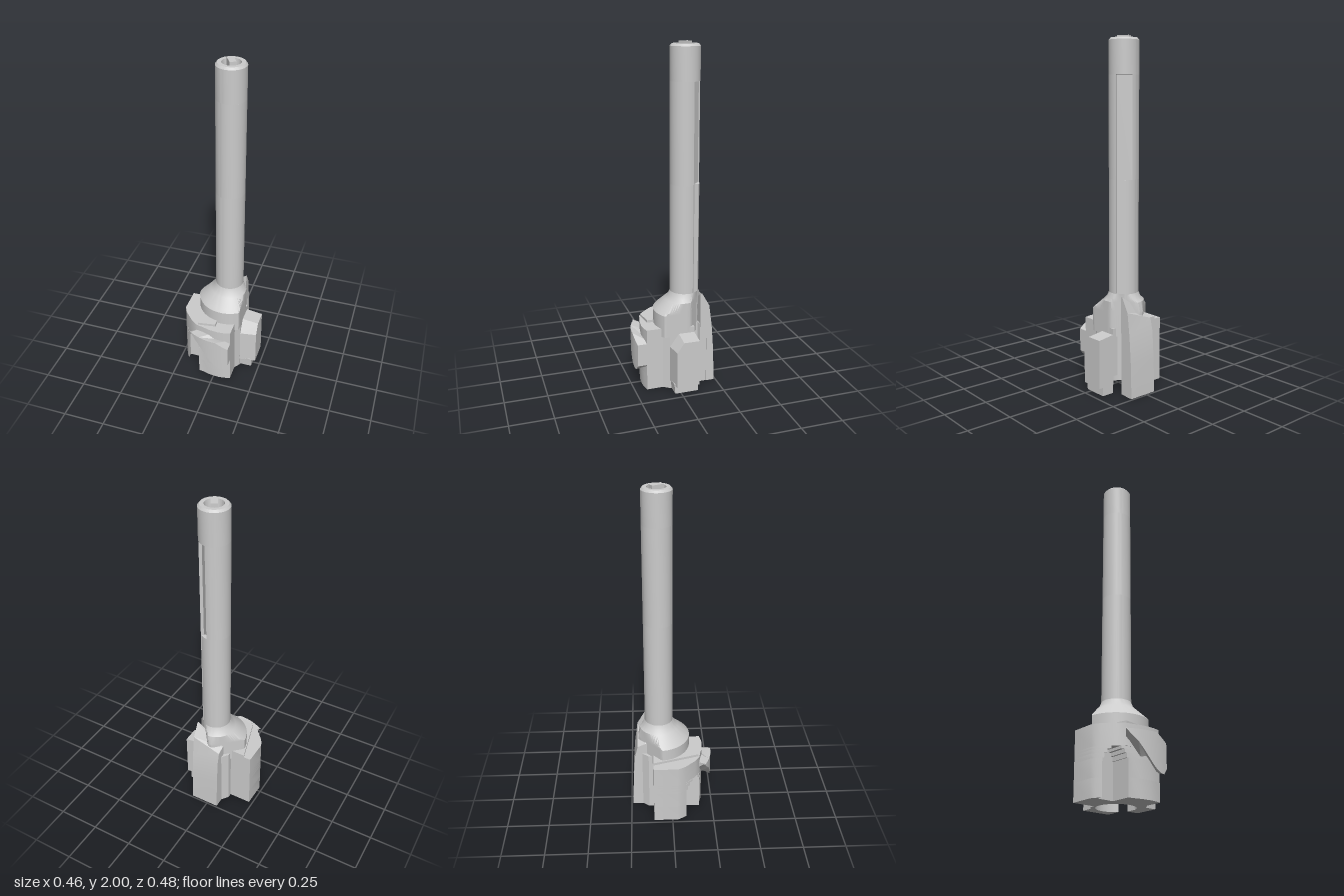
import * as THREE from 'three';
import { toCreasedNormals } from 'three/addons/utils/BufferGeometryUtils.js';

// Axis shared by the rod, the shoulder and the bottom recess
const CX = 0.024, CZ = -0.075, ROD = 0.084, RECESS = 0.11;

const arcZ = (r, x) => CZ + Math.sqrt(r * r - (x - CX) ** 2);

// Extrude a plan outline of [x, z] points from y0 to y1
function plan(points, y0, y1) {
  const shape = new THREE.Shape(points.map(([x, z]) => new THREE.Vector2(x, -z)));
  return new THREE.ExtrudeGeometry(shape, { depth: y1 - y0, bevelEnabled: false })
    .rotateX(-Math.PI / 2).translate(0, y0, 0);
}

// Extrude a side profile of [z, y] points from x0 to x1
function side(points, x0, x1) {
  const shape = new THREE.Shape(points.map(([z, y]) => new THREE.Vector2(-z, y)));
  return new THREE.ExtrudeGeometry(shape, { depth: x1 - x0, bevelEnabled: false })
    .rotateY(Math.PI / 2).translate(x0, 0, 0);
}

// Move every vertex by a rule
function reshape(geometry, rule) {
  const p = geometry.attributes.position, v = new THREE.Vector3();
  for (let i = 0; i < p.count; i++) {
    rule(v.fromBufferAttribute(p, i));
    p.setXYZ(i, v.x, v.y, v.z);
  }
  return geometry;
}

// Rod section with a flat-bottomed groove between t0 and t1, facing +x -z
function groovedCircle(t0, t1) {
  const a0 = Math.asin(t1 / ROD), a1 = Math.PI * 2 + Math.asin(t0 / ROD);
  const pts = [];
  for (let i = 0; i <= 40; i++) {
    const a = a0 + (a1 - a0) * i / 40;
    pts.push([ROD * Math.cos(a), ROD * Math.sin(a)]);
  }
  pts.push([0.058, t0], [0.058, t1]);
  const k = Math.SQRT1_2;
  return pts.map(([d, t]) => [CX + (d - t) * k, CZ - (d + t) * k]);
}

// Plan of the head; pocket is the relative width of the arched cut
function headOutline(pocket, openRecess) {
  const pts = [[0.105, -0.15], [0.105, -0.192], [-0.065, -0.192], [-0.065, -0.178],
    [-0.095, -0.14], [-0.095, -0.112], [-0.228, -0.112], [-0.23, 0.03]];
  const left = -0.15 - 0.05 * pocket, right = -0.15 + 0.05 * pocket;
  for (const x of [-0.218, -0.205]) pts.push([x, arcZ(0.275, x)]);
  pts.push([left, arcZ(0.275, left)]);
  if (pocket) pts.push([left, 0.05], [right, 0.05], [right, arcZ(0.275, right)]);
  else pts.push([-0.11, arcZ(0.275, -0.11)]);
  for (const x of [-0.07, -0.03, 0.03, 0.07, 0.105]) pts.push([x, arcZ(0.265, x)]);
  pts.push([0.105, 0.08], [0.13, 0.045], [0.13, -0.105]);
  if (!openRecess) pts.push([0.095, -0.105], [0.075, -0.125], [0.083, -0.142]);
  else {
    const a0 = Math.atan2(-0.105 - CZ, 0.13 - CX);
    const a1 = Math.PI * 2 + Math.atan2(-0.15 - CZ, 0.105 - CX);
    for (let i = 0; i <= 32; i++) {
      const a = a0 + (a1 - a0) * i / 32;
      pts.push([CX + RECESS * Math.cos(a), CZ + RECESS * Math.sin(a)]);
    }
  }
  return pts;
}

export function createModel() {
  const model = new THREE.Group();
  const material = new THREE.MeshStandardMaterial({ color: 0xcccccc, side: THREE.DoubleSide });
  const add = (name, geometry, crease = 0.5) => {
    const mesh = new THREE.Mesh(toCreasedNormals(geometry, crease), material);
    mesh.name = name;
    model.add(mesh);
    return mesh;
  };
  const lathe = (profile, segments = 48) => new THREE.LatheGeometry(
    profile.map(([r, y]) => new THREE.Vector2(r, y)), segments).translate(CX, 0, CZ);

  // Rod: narrow groove, wide pocket, then a chamfered hollow tip
  add('rodLower', plan(groovedCircle(-0.037, 0.01), 0.1, 1.22));
  add('rodPocket', plan(groovedCircle(-0.037, 0.052), 1.22, 1.79));
  add('rodTip', lathe([[0, 1.79], [ROD, 1.79], [ROD, 1.975], [0.074, 1.987],
    [0.052, 1.987], [0.046, 1.94], [0, 1.94]]));
  const blade = add('tipBlade', new THREE.BoxGeometry(0.036, 0.07, 0.07));
  blade.position.set(CX, 1.965, CZ);
  blade.rotation.y = 0.5;

  // Head, stacked in layers so the pocket narrows into an arch
  const layers = [[0, 0.1, 1, true], [0.1, 0.2, 1], [0.2, 0.225, 0.88],
    [0.225, 0.245, 0.68], [0.245, 0.26, 0.4], [0.26, 0.38, 0]];
  layers.forEach(([y0, y1, pocket, open]) => add('headLayer', plan(headOutline(pocket, open), y0, y1)));

  // Raised deck beside the shoulder
  add('headDeck', plan([[-0.185, -0.112], [-0.095, -0.112], [0, 0], [0, 0.145],
    [-0.105, 0.16]], 0.37, 0.395));

  // Conical shoulder, flattened on its right, back and corner sides
  const shoulder = lathe([[0, 0.33], [0.184, 0.33], [0.184, 0.465], [0.17, 0.48],
    [0.115, 0.53], [0.095, 0.55], [0.083, 0.58]], 64);
  const flats = [[1, 0, 0.106], [-0.685, -0.728, 0.115], [0, -1, 0.125], [0.707, -0.707, 0.08]];
  add('shoulder', reshape(shoulder, v => {
    for (const [nx, nz, limit] of flats) {
      const over = (v.x - CX) * nx + (v.z - CZ) * nz - limit;
      if (over > 0 && v.y < 0.57) {
        v.x -= nx * over;
        v.z -= nz * over;
      }
    }
  }));

  // Back fin, leaning inwards, with its right top corner cut down
  const fin = side([[-0.19, 0], [-0.24, 0], [-0.234, 0.2], [-0.222, 0.36], [-0.205, 0.49],
    [-0.16, 0.57], [-0.15, 0.57], [-0.15, 0.36], [-0.19, 0.36]], -0.065, 0.108);
  add('backFin', reshape(fin, v => {
    if (v.x < 0 && v.y > 0.45) v.y = v.y > 0.5 ? 0.45 : 0.43;
  }), 0.2);

  // Side lug with a chamfered front edge and a set-back foot
  add('sideLug', reshape(side([[0.045, 0.05], [0.045, 0.27], [-0.01, 0.345], [-0.105, 0.345],
    [-0.105, 0.05]], 0.125, 0.228), v => {
    if (v.x > 0.2) {
      if (v.z > 0) v.z = 0.03;
      if (v.y > 0.3) v.y = 0.33;
    }
  }), 0.2);
  add('sideLugFoot', side([[0.035, 0], [0.04, 0.06], [-0.105, 0.06], [-0.105, 0]], 0.13, 0.203));

  // Front lug: curved face, sweeping underside, top falling to one side
  const xs = [-0.14, -0.11, -0.08, -0.05, -0.02, 0.005, 0.03, 0.055, 0.08, 0.105];
  const lugPlan = xs.map(x => [x, arcZ(0.318, x)]);
  for (const x of xs.slice(1).reverse()) lugPlan.push([x, x < 0.03 ? 0.155 - 0.07 * x : 0.145]);
  const under = x => 0.225 - 0.095 * Math.sin(Math.min(1, Math.max(-1, (x + 0.04) / 0.11)) * Math.PI / 2)
    + Math.max(0, x - 0.08) * 1.2 + Math.max(0, -0.11 - x);
  add('frontLug', reshape(plan(lugPlan, 0, 1), v => {
    v.y = v.y > 0.5 ? 0.34 - Math.max(0, v.x - 0.03) * 0.6 : under(v.x);
  }));

  return model;
}
